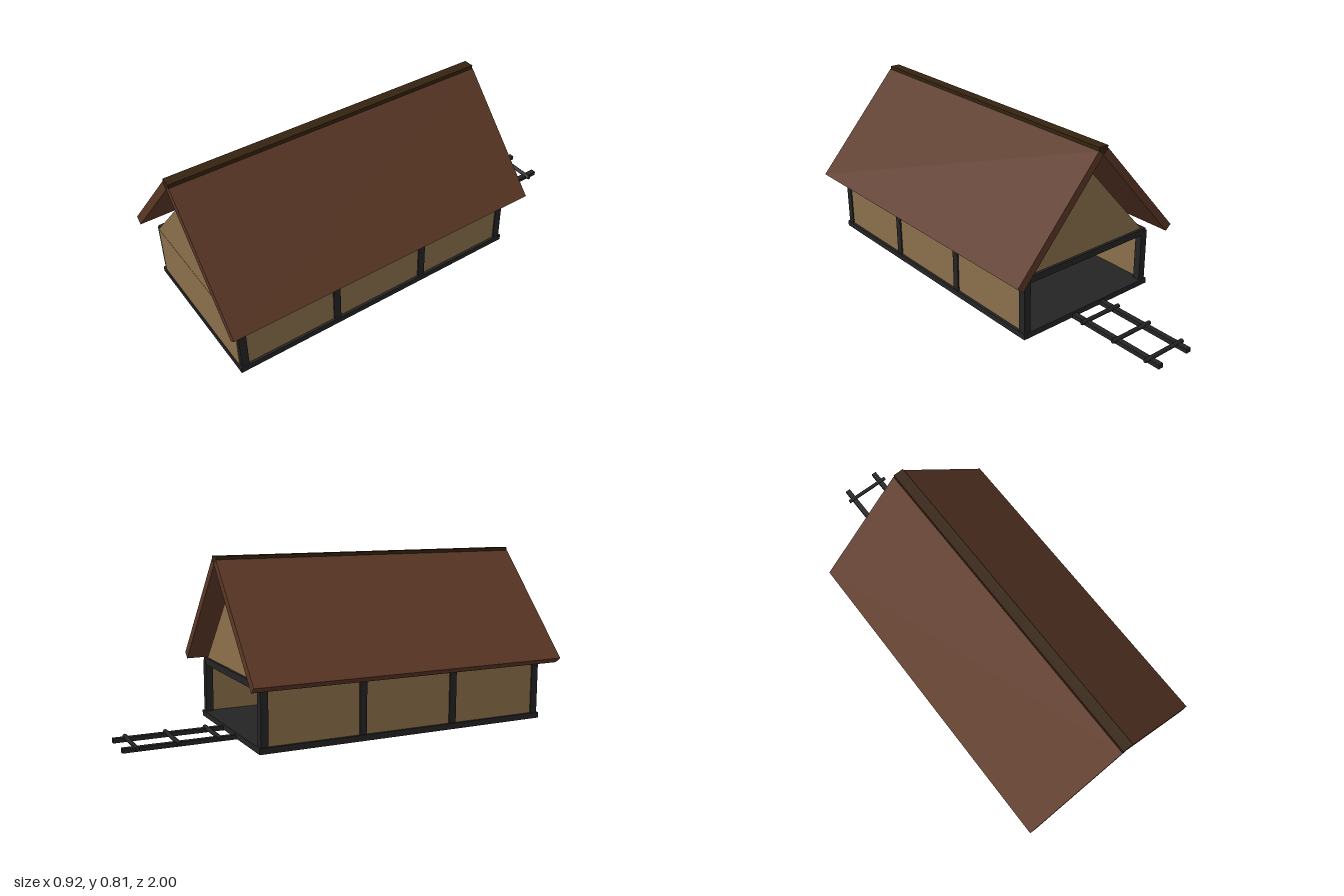
import * as THREE from 'three';

const mat = (name, color) => {
  const m = new THREE.MeshStandardMaterial({ color });
  m.name = name;
  return m;
};

export function createModel() {
  const model = new THREE.Group();
  model.name = 'longHouse';
  const frame = mat('charcoal frame', 0x242424);
  const hide = mat('tan wall', 0x8b6f4b);
  const roofing = mat('brown roof', 0x5c3826);
  const ridgeWood = mat('dark ridge', 0x352310);

  const add = (name, geometry, material) => {
    const mesh = new THREE.Mesh(geometry, material);
    mesh.name = name;
    model.add(mesh);
    return mesh;
  };
  // Box given by its extents on each axis
  const box = (name, material, [x0, x1], [y0, y1], [z0, z1]) => {
    const mesh = add(name, new THREE.BoxGeometry(x1 - x0, y1 - y0, z1 - z0), material);
    mesh.position.set((x0 + x1) / 2, (y0 + y1) / 2, (z0 + z1) / 2);
    return mesh;
  };
  // Outline in x and y, extruded along z
  const prism = (name, material, points, z0, z1) => {
    const shape = new THREE.Shape(points.map(([x, y]) => new THREE.Vector2(x, y)));
    const geometry = new THREE.ExtrudeGeometry(shape, { depth: z1 - z0, bevelEnabled: false });
    geometry.translate(0, 0, z0);
    return add(name, geometry, material);
  };

  // Floor
  box('floor', frame, [-0.378, 0.378], [0.003, 0.03], [-0.495, 0.95]);

  for (const s of [-1, 1]) {
    const span = (a, b) => (s > 0 ? [a, b] : [-b, -a]);
    const side = s > 0 ? 'left' : 'right';

    // Posts, side wall and the beam along its top
    for (const z of [0.925, 0.46, -0.005, -0.47]) {
      box(side + 'Post', frame, span(0.337, 0.372), [0.03, 0.28], [z - 0.0175, z + 0.0175]);
    }
    box(side + 'Wall', hide, span(0.355, 0.366), [0.03, 0.28], [-0.47, 0.925]);
    box(side + 'TopBeam', frame, span(0.331, 0.364), [0.262, 0.294], [-0.487, 0.942]);

    // Sloping roof slab
    const slab = [[0, 0.766], [0.432, 0.281], [0.462, 0.306], [0.028, 0.79]];
    prism(side + 'RoofSlab', roofing, slab.map(([x, y]) => [x * s, y]), -0.55, 1);

    // Ladder rail
    box(side + 'LadderRail', frame, span(0.073, 0.098), [0, 0.02], [-1, -0.49]);
  }

  // Closed front wall, open back with a cross beam
  box('frontWall', hide, [-0.355, 0.355], [0.03, 0.28], [0.925, 0.946]);
  box('frontBeam', frame, [-0.332, 0.332], [0.262, 0.294], [0.909, 0.941]);
  box('backBeam', frame, [-0.332, 0.332], [0.262, 0.294], [-0.487, -0.453]);

  // Gables
  const gable = [[-0.355, 0.28], [0.355, 0.28], [0, 0.675]];
  prism('frontGable', hide, gable, 0.935, 0.945);
  prism('backGable', hide, gable, -0.475, -0.465);

  // Ridge cap
  box('ridge', ridgeWood, [-0.025, 0.025], [0.769, 0.805], [-0.549, 0.999]);

  // Ladder rungs
  for (const z of [-0.94, -0.757, -0.571]) {
    const rung = add('ladderRung', new THREE.CylinderGeometry(0.01, 0.01, 0.23, 8), frame);
    rung.rotation.z = Math.PI / 2;
    rung.position.set(0, 0.017, z);
  }

  return model;
}
